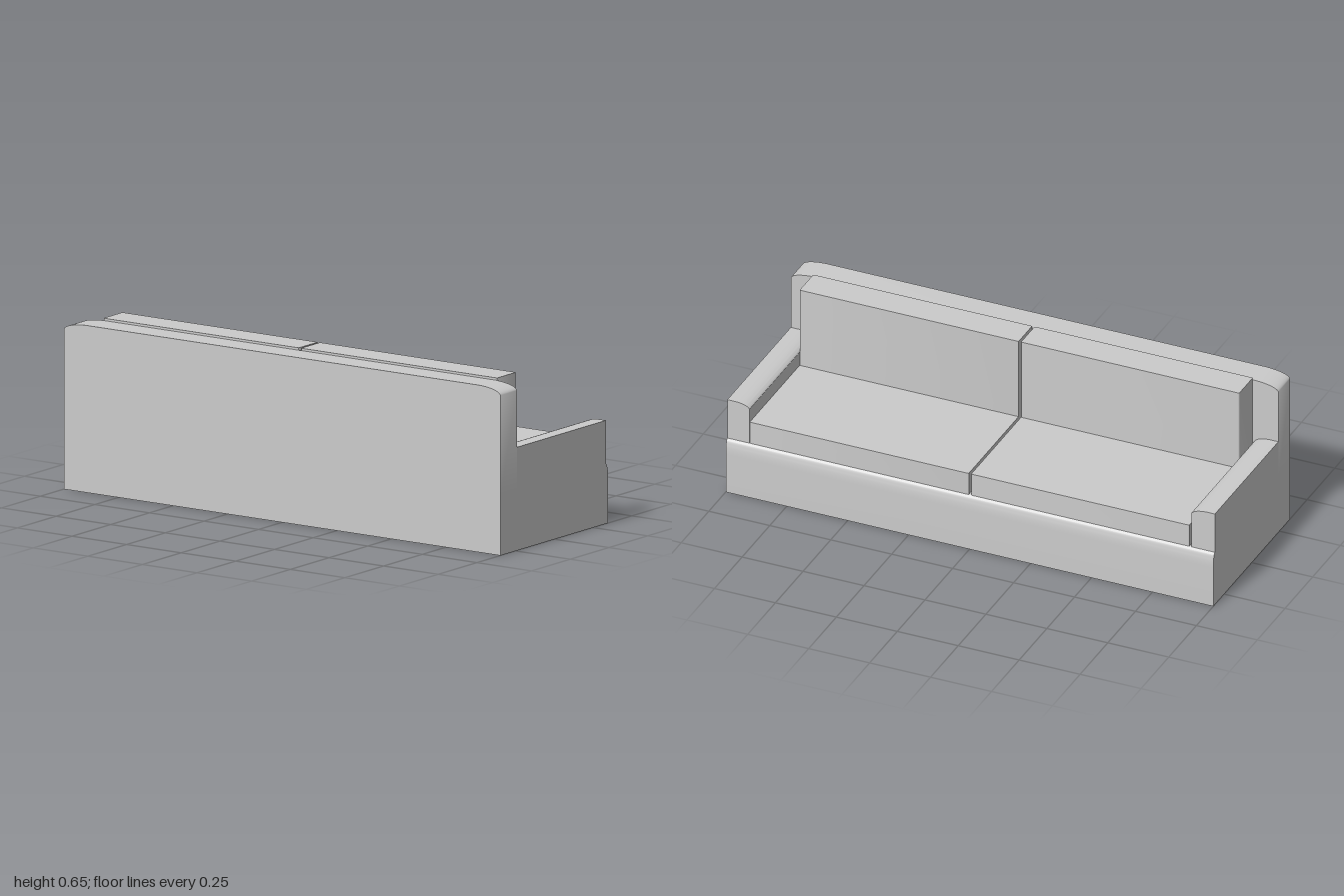
import * as THREE from 'three';
import { toCreasedNormals } from 'three/addons/utils/BufferGeometryUtils.js';

const material = new THREE.MeshStandardMaterial({ color: 0xcccccc });

// Extrudes a closed outline and keeps hard edges sharp, curves smooth
function extrude(shape, depth) {
  const geometry = new THREE.ExtrudeGeometry(shape, { depth, bevelEnabled: false, curveSegments: 10 });
  return toCreasedNormals(geometry, 0.6);
}

function addPart(group, name, geometry) {
  const mesh = new THREE.Mesh(geometry, material);
  mesh.name = name;
  group.add(mesh);
}

// Outline drawn in (z, y), swept along x from x0 to x1
function sweepX(shape, x0, x1) {
  return extrude(shape, x1 - x0).rotateY(-Math.PI / 2).translate(x1, 0, 0);
}

// Cushion block with softened vertical edges
function cushion(x0, x1, y0, y1, z0, z1) {
  const r = 0.005;
  const s = new THREE.Shape();
  s.moveTo(x0 + r, -z1);
  s.lineTo(x1 - r, -z1);
  s.quadraticCurveTo(x1, -z1, x1, -z1 + r);
  s.lineTo(x1, -z0 - r);
  s.quadraticCurveTo(x1, -z0, x1 - r, -z0);
  s.lineTo(x0 + r, -z0);
  s.quadraticCurveTo(x0, -z0, x0, -z0 - r);
  s.lineTo(x0, -z1 + r);
  s.quadraticCurveTo(x0, -z1, x0 + r, -z1);
  return extrude(s, y1 - y0).rotateX(-Math.PI / 2).translate(0, y0, 0);
}

export function createModel() {
  const sofa = new THREE.Group();
  sofa.name = 'sofa';
  const back = -0.348, backFront = -0.241, front = 0.333, deck = 0.228;

  // Base with a rolled front lip
  const base = new THREE.Shape();
  base.moveTo(back, 0);
  base.lineTo(0.347, 0);
  base.lineTo(0.347, 0.165);
  base.bezierCurveTo(0.347, 0.2, 0.341, 0.226, front, deck);
  base.lineTo(back, deck);
  addPart(sofa, 'base', extrude(base, 2).translate(0, 0, -1));

  // Backrest with rounded outer top corners
  const rest = new THREE.Shape();
  rest.moveTo(-1, deck);
  rest.lineTo(1, deck);
  rest.lineTo(1, 0.612);
  rest.bezierCurveTo(0.995, 0.628, 0.95, 0.638, 0.9, 0.639);
  rest.lineTo(-0.9, 0.639);
  rest.bezierCurveTo(-0.95, 0.638, -0.995, 0.628, -1, 0.612);
  addPart(sofa, 'backrest', sweepX(rest, back, backFront));

  // Armrests, rounded over on the inner top edge
  for (const [name, side, inner] of [['rightArm', 1, 0.909], ['leftArm', -1, 0.904]]) {
    const arm = new THREE.Shape();
    arm.moveTo(side * inner, deck);
    arm.lineTo(side, deck);
    arm.lineTo(side, 0.395);
    arm.lineTo(side * 0.965, 0.395);
    arm.bezierCurveTo(side * 0.94, 0.394, side * 0.915, 0.388, side * inner, 0.376);
    addPart(sofa, name, sweepX(arm, backFront, front));
  }

  // Two seat cushions and two back cushions, with narrow gaps between
  for (const [side, z0, z1] of [['right', 0.01, 0.908], ['left', -0.895, 0]]) {
    addPart(sofa, side + 'SeatCushion', cushion(backFront, front, deck, 0.32, z0, z1));
    addPart(sofa, side + 'BackCushion', cushion(backFront, -0.118, 0.32, 0.648, z0, z1));
  }
  return sofa;
}
